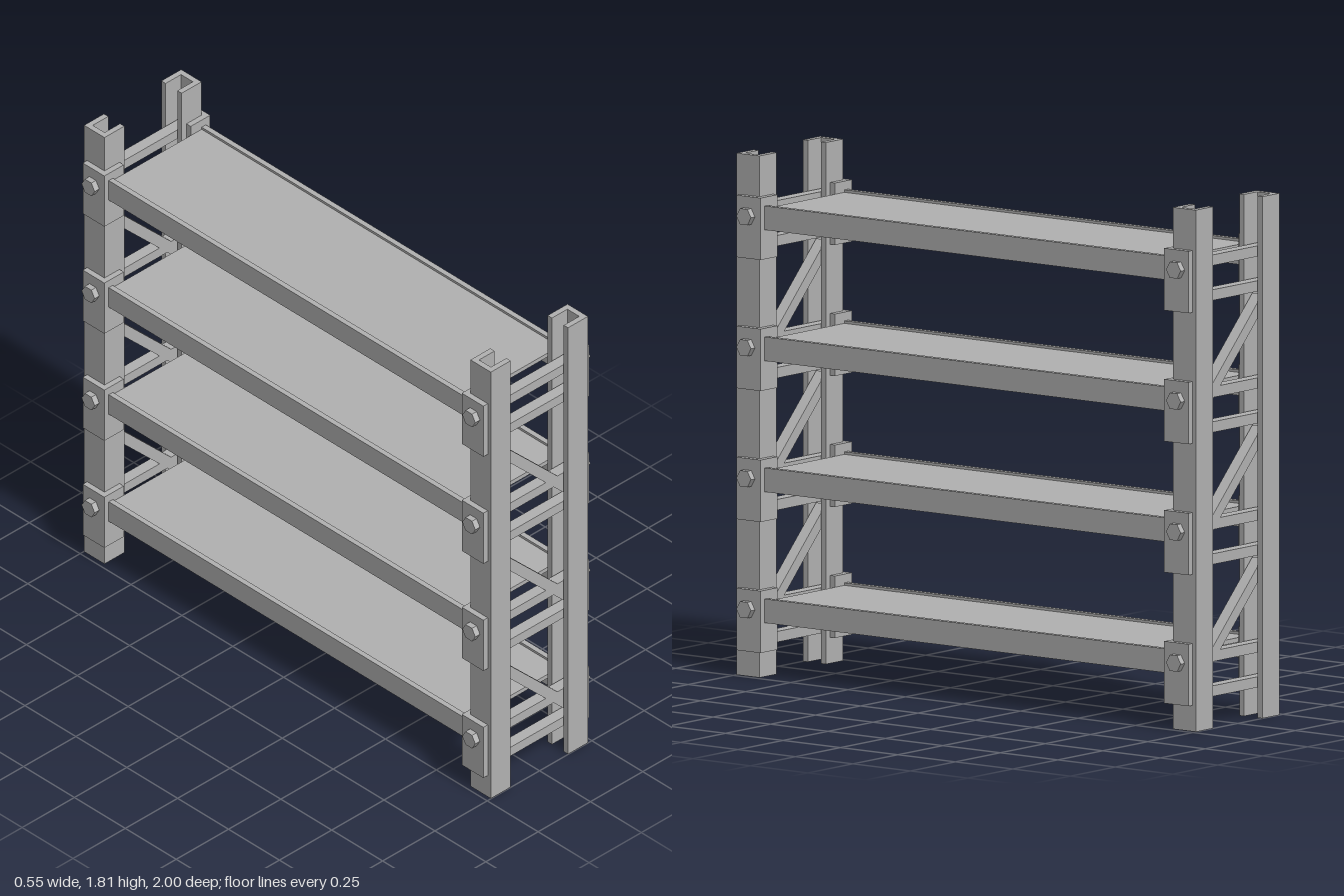
import * as THREE from 'three';

export function createModel() {
  const rack = new THREE.Group();
  rack.name = 'shelvingRack';
  const steel = new THREE.MeshStandardMaterial({ color: 0xb2b2b2 });
  steel.name = 'grey steel';

  const add = (name, geometry, x = 0, y = 0, z = 0) => {
    const mesh = new THREE.Mesh(geometry, steel);
    mesh.name = name;
    mesh.position.set(x, y, z);
    rack.add(mesh);
    return mesh;
  };
  const box = (name, w, h, d, x, y, z) => add(name, new THREE.BoxGeometry(w, h, d), x, y, z);
  const extrude = (points, depth) => new THREE.ExtrudeGeometry(
    new THREE.Shape(points.map(([x, y]) => new THREE.Vector2(x, y))), { depth, bevelEnabled: false });

  const levels = 4, step = 0.4545, height = 1.81;
  const outer = 0.232, inner = 0.137;

  // Channel posts, open towards each other
  const channel = [[0.232, -0.05], [0.232, 0.05], [0.137, 0.05], [0.137, 0.029],
    [0.211, 0.029], [0.211, -0.029], [0.137, -0.029], [0.137, -0.05]];
  // Stepped beam section: tall outer wall with a ledge for the deck
  const beam = [[0.232, 0.192], [0.232, 0.275], [0.212, 0.275], [0.212, 0.25],
    [0.182, 0.25], [0.182, 0.192]];
  const flip = (points, s) => points.map(([x, y]) => [s * x, y]);

  for (const end of [1, -1]) {
    const zPost = end * 0.949;
    for (const side of [1, -1]) {
      const postGeometry = extrude(flip(channel, side), height);
      postGeometry.rotateX(-Math.PI / 2);
      add('post', postGeometry, 0, 0, zPost);

      for (let i = 0; i < levels; i++) {
        const y = i * step;
        // L-shaped bracket wrapping the post
        box('bracketSide', 0.021, 0.215, 0.106, side * (outer + 0.0105), 0.1975 + y, end * 0.931);
        box('bracketFace', 0.074, 0.215, 0.021, side * (outer - 0.035), 0.1975 + y, end * 0.8885);
        // Hexagonal bolt head
        const bolt = new THREE.CylinderGeometry(0.032, 0.032, 0.022, 6).toNonIndexed();
        bolt.computeVertexNormals();
        add('boltHead', bolt, side * 0.264, 0.237 + y, end * 0.935).rotation.z = Math.PI / 2;
      }
    }

    // Horizontal rungs in pairs, and diagonal braces between the pairs
    for (let i = 0; i < levels; i++) {
      const y = i * 0.458;
      box('upperRung', 0.42, 0.037, 0.043, 0, 0.243 + y, zPost);
      box('lowerRung', 0.42, 0.037, 0.043, 0, 0.122 + y, zPost);
      if (i < levels - 1) {
        box('diagonalBrace', 0.53, 0.039, 0.043, 0, 0.348 + y, zPost).rotation.z = -Math.PI / 4;
      }
    }
  }

  // Shelves: two beams carrying a deck
  for (let i = 0; i < levels; i++) {
    const y = i * step;
    for (const side of [1, -1]) add('shelfBeam', extrude(flip(beam, side), 1.757), 0, y, -0.8785);
    box('shelfDeck', 0.424, 0.016, 1.757, 0, 0.258 + y, 0);
  }
  return rack;
}
